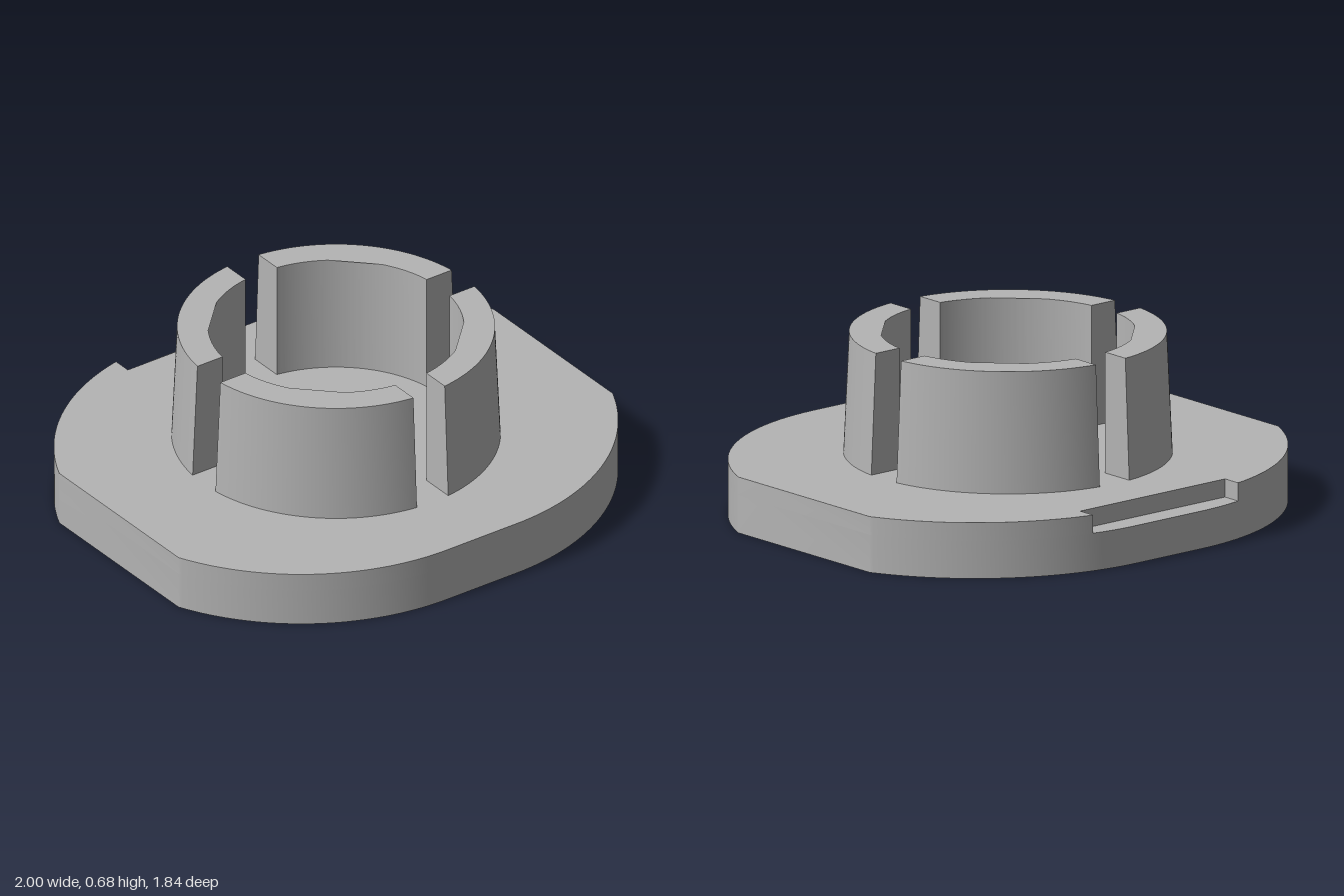
import * as THREE from 'three';
import { toCreasedNormals } from 'three/addons/utils/BufferGeometryUtils.js';

const PLATE_H = 0.215, LEDGE_Y = 0.145, TOP_Y = 0.68;
const ARC_R = 0.92, ARC_X = 0.16;                    // corner arcs of the plate
const NOTCH_X = 0.355, NOTCH_Z = 0.825;
const GAP = 0.072, R_IN = 0.476, R_BASE = 0.612, R_TOP = 0.59;

// Plate outline; shape +y becomes the back (-z)
function plateShape(notched) {
  const a = Math.acos((1 - ARC_X) / ARC_R), h = Math.PI / 2;
  const cut = Math.acos((NOTCH_X - ARC_X) / ARC_R);
  const end = notched ? cut : h;
  const s = new THREE.Shape();
  s.absarc(ARC_X, 0, ARC_R, a, end, false);
  if (notched) {
    s.lineTo(NOTCH_X, NOTCH_Z);
    s.lineTo(-NOTCH_X, NOTCH_Z);
  }
  s.absarc(-ARC_X, 0, ARC_R, Math.PI - end, Math.PI - a, false);
  s.absarc(-ARC_X, 0, ARC_R, Math.PI + a, Math.PI + h, false);
  s.absarc(ARC_X, 0, ARC_R, -h, -a, false);
  s.closePath();
  return s;
}

// Upright extrusion from y0 to y1
function extrudeUp(shape, y0, y1) {
  const g = new THREE.ExtrudeGeometry(shape, { depth: y1 - y0, bevelEnabled: false, curveSegments: 32 });
  g.rotateX(-Math.PI / 2);
  g.translate(0, y0, 0);
  return g;
}

// One quarter of the collar, straight inside and tapering outside
function collarQuarter() {
  const ao = Math.asin(GAP / R_BASE), ai = Math.asin(GAP / R_IN), h = Math.PI / 2;
  const s = new THREE.Shape();
  s.absarc(0, 0, R_BASE, ao, h - ao, false);
  s.absarc(0, 0, R_IN, h - ai, ai, true);
  s.closePath();
  const g = extrudeUp(s, PLATE_H, TOP_Y);
  const p = g.attributes.position;
  const reach = (r) => Math.sqrt(r * r - GAP * GAP) - GAP;
  const k = reach(R_TOP) / reach(R_BASE);
  for (let i = 0; i < p.count; i++) {
    const x = p.getX(i), z = p.getZ(i);
    if (p.getY(i) > TOP_Y - 0.01 && Math.hypot(x, z) > (R_IN + R_BASE) / 2) {
      p.setX(i, GAP + (x - GAP) * k);
      p.setZ(i, -GAP + (z + GAP) * k);
    }
  }
  return g;
}

export function createModel() {
  const model = new THREE.Group();
  const grey = new THREE.MeshStandardMaterial({ color: 0xb4b4b4 });
  grey.name = 'grey';

  const add = (name, geometry) => {
    const mesh = new THREE.Mesh(toCreasedNormals(geometry, Math.PI / 7), grey);
    mesh.name = name;
    model.add(mesh);
    return mesh;
  };

  // Base plate, with a ledge notch at the back of its upper layer
  add('basePlateLower', extrudeUp(plateShape(false), 0, LEDGE_Y));
  add('basePlateUpper', extrudeUp(plateShape(true), LEDGE_Y, PLATE_H));

  // Split collar
  for (let i = 0; i < 4; i++) {
    add('collarSegment' + (i + 1), collarQuarter()).rotation.y = i * Math.PI / 2;
  }
  return model;
}
